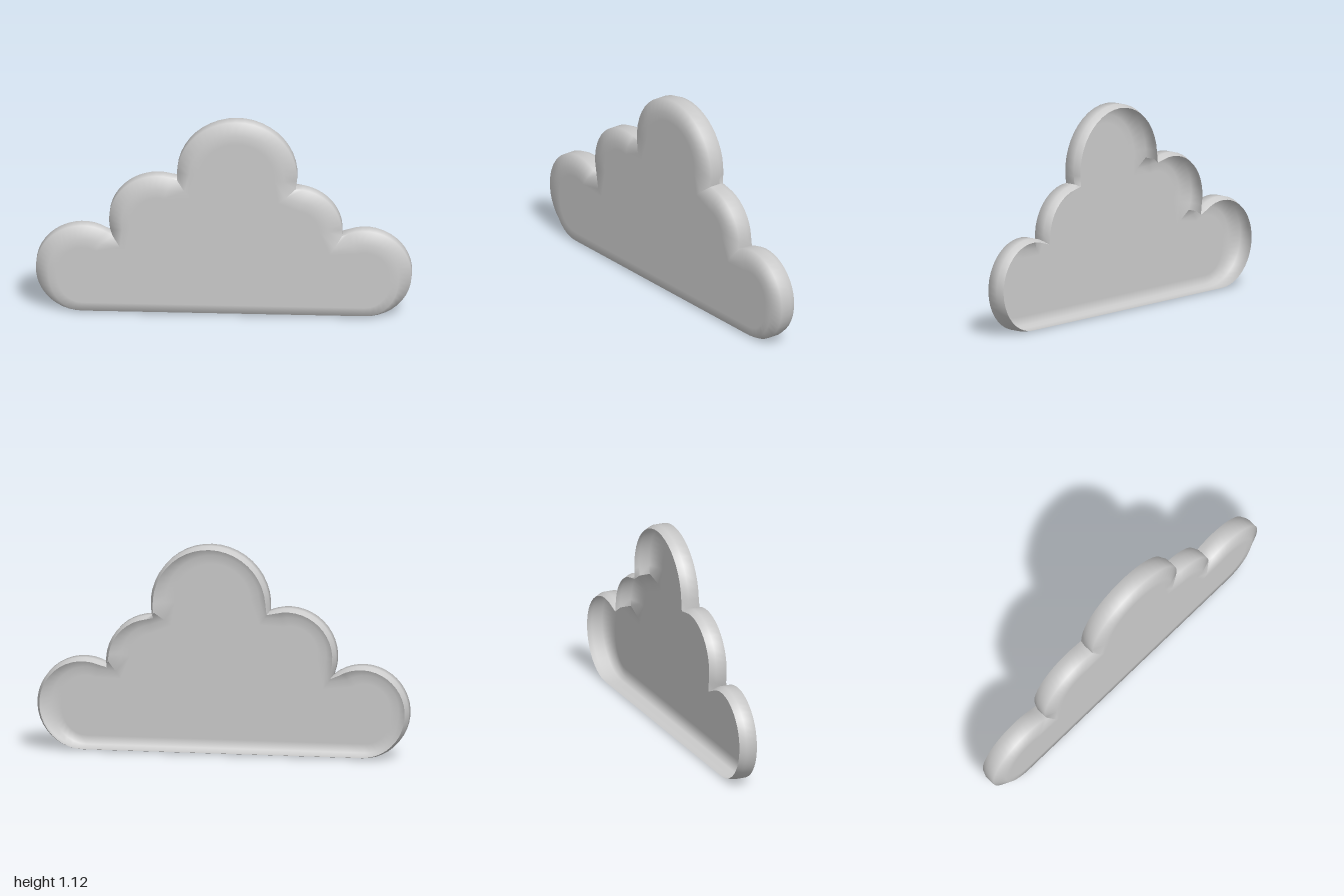
import * as THREE from 'three';
import { toCreasedNormals } from 'three/addons/utils/BufferGeometryUtils.js';

// Round lobes of the cloud, from its left (+x) over the top to its right: [x, y, radius]
const LOBES = [
  [0.75, 0.25, 0.25],
  [0.38, 0.49, 0.25],
  [0.07, 0.805, 0.32],
  [-0.35, 0.54, 0.26],
  [-0.75, 0.25, 0.25],
];

// Outer crossing point of two neighbouring lobes
function valley([ax, ay, ar], [bx, by, br]) {
  const dx = bx - ax, dy = by - ay, d = Math.hypot(dx, dy);
  const along = (d * d + ar * ar - br * br) / (2 * d);
  const h = Math.sqrt(ar * ar - along * along);
  return new THREE.Vector2(ax + (dx * along + dy * h) / d, ay + (dy * along - dx * h) / d);
}

// Counter-clockwise outline: one arc per lobe, then the flat base
function cloudOutline() {
  const points = [];
  LOBES.forEach((lobe, i) => {
    const [x, y, r] = lobe;
    const last = i === LOBES.length - 1;
    const angleOf = (p) => Math.atan2(p.y - y, p.x - x);
    const start = i === 0 ? -Math.PI / 2 : angleOf(valley(LOBES[i - 1], lobe));
    let end = last ? 1.5 * Math.PI : angleOf(valley(lobe, LOBES[i + 1]));
    if (end < start) end += 2 * Math.PI;
    const steps = Math.max(8, Math.round((end - start) / 0.15));
    for (let k = 0; k < steps + (last ? 1 : 0); k++) {
      const a = start + ((end - start) * k) / steps;
      points.push(new THREE.Vector2(x + r * Math.cos(a), y + r * Math.sin(a)));
    }
  });
  for (let k = 1; k < 16; k++) points.push(new THREE.Vector2(-0.75 + (1.5 * k) / 16, 0));
  return points;
}

// Inward normal at each outline point
function inwardNormals(points) {
  const n = points.length;
  return points.map((p, i) => {
    const a = p.clone().sub(points[(i + n - 1) % n]).normalize();
    const b = points[(i + 1) % n].clone().sub(p).normalize();
    const t = a.add(b).normalize();
    return new THREE.Vector2(-t.y, t.x);
  });
}

// Open-backed shell: rings from the rear rim to the front, closed by a flat face
function cloudGeometry() {
  const outline = cloudOutline();
  const normals = inwardNormals(outline);
  const n = outline.length;
  // [z, inset, inset along the base]
  const rings = [
    [-0.06, 0.016, 0.008],
    [-0.025, 0, 0],
    [0.035, 0, 0],
    [0.06, 0.068, 0.012],
    [0.06, 0.115, 0.06],
  ];
  const positions = [], index = [];
  let front = [];
  for (const [z, inset, base] of rings) {
    front = outline.map((p, i) => {
      const down = Math.max(0, normals[i].y);
      const d = THREE.MathUtils.lerp(inset, base, down * down);
      return p.clone().addScaledVector(normals[i], d);
    });
    front.forEach((p) => positions.push(p.x, p.y, z));
  }
  for (let r = 0; r < rings.length - 1; r++) {
    for (let i = 0; i < n; i++) {
      const j = (i + 1) % n;
      const a = r * n + i, b = r * n + j, c = b + n, d = a + n;
      index.push(a, b, c, a, c, d);
    }
  }
  const offset = (rings.length - 1) * n;
  for (const face of THREE.ShapeUtils.triangulateShape(front, [])) {
    index.push(...face.map((v) => v + offset));
  }
  const geometry = new THREE.BufferGeometry();
  geometry.setAttribute('position', new THREE.Float32BufferAttribute(positions, 3));
  geometry.setIndex(index);
  return toCreasedNormals(geometry, 1.45);
}

export function createModel() {
  const group = new THREE.Group();
  group.name = 'cloud';
  const material = new THREE.MeshStandardMaterial({ color: 0xcccccc, side: THREE.DoubleSide });
  const shell = new THREE.Mesh(cloudGeometry(), material);
  shell.name = 'cloudShell';
  group.add(shell);
  return group;
}
